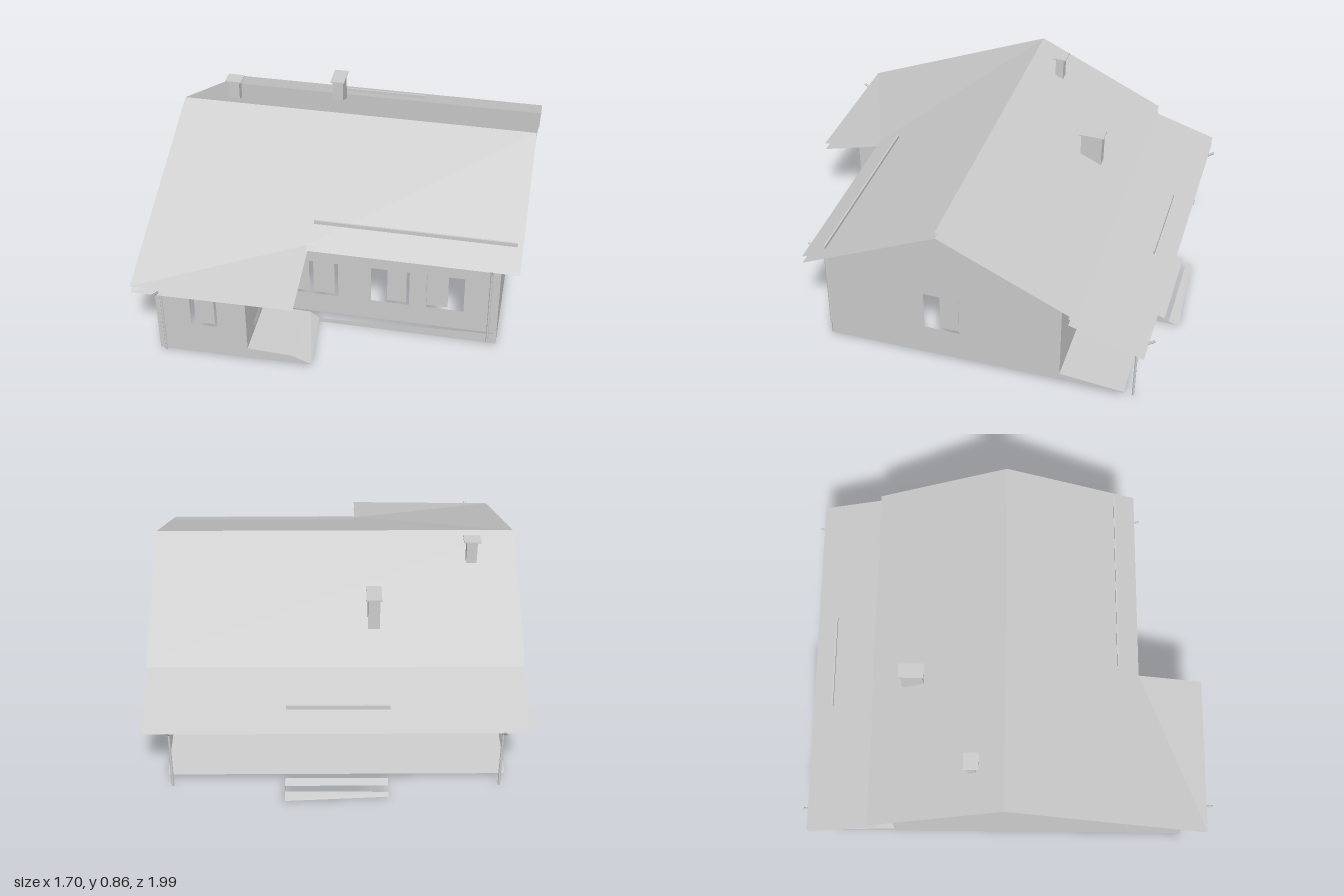
import * as THREE from 'three';

const grey = new THREE.MeshStandardMaterial({ color: 0xcccccc, side: THREE.DoubleSide, flatShading: true });

const rect = (a0, a1, y0, y1) => [[a0, y0], [a1, y0], [a1, y1], [a0, y1]];
const toPoints = (pts) => pts.map(([a, y]) => new THREE.Vector2(a, y));

export function createModel() {
  const house = new THREE.Group();
  house.name = 'house';

  const add = (name, geometry, parent = house) => {
    const mesh = new THREE.Mesh(geometry, grey);
    mesh.name = name;
    parent.add(mesh);
    return mesh;
  };

  // Thin vertical panel: outline in (x, y), or in (z, y) when facing sideways
  const panel = (name, outline, holes, at, sideways = false) => {
    const shape = new THREE.Shape(toPoints(outline));
    holes.forEach((h) => shape.holes.push(new THREE.Path(toPoints(rect(...h)))));
    const geometry = new THREE.ShapeGeometry(shape);
    if (sideways) geometry.rotateY(-Math.PI / 2).translate(at, 0, 0);
    else geometry.translate(0, 0, at);
    return add(name, geometry);
  };

  // Sheet from a few corners and triangles
  const sheet = (name, corners, triangles) => {
    const geometry = new THREE.BufferGeometry();
    geometry.setAttribute('position', new THREE.Float32BufferAttribute(corners.flat(), 3));
    geometry.setIndex(triangles);
    geometry.computeVertexNormals();
    return add(name, geometry);
  };
  const quad = (name, a, b, c, d) => sheet(name, [a, b, c, d], [0, 1, 2, 0, 2, 3]);

  const box = (name, x0, x1, y0, y1, z0, z1, parent) => add(name,
    new THREE.BoxGeometry(x1 - x0, y1 - y0, z1 - z0)
      .translate((x0 + x1) / 2, (y0 + y1) / 2, (z0 + z1) / 2), parent);

  // Gable walls, with the sloping terrace sides at the back
  panel('leftGableWall', [[0.57, 0], [0.57, 0.52], [0, 0.78], [-0.55, 0.52], [-0.55, 0.06], [-0.85, 0.035], [-0.85, 0.03]],
    [[-0.07, 0.1, 0.17, 0.37]], 0.765, true);
  panel('rightGableWall', [[0.88, 0], [0.88, 0.42], [0.57, 0.52], [0, 0.78], [-0.55, 0.52], [-0.55, 0.06], [-0.85, 0.035], [-0.85, 0.03]],
    [], -0.77, true);

  // Front and back walls
  panel('frontWall', rect(-0.35, 0.765, 0.06, 0.52),
    [[-0.24, 0.015, 0.17, 0.365], [0.17, 0.35, 0.17, 0.365], [0.43, 0.605, 0.17, 0.365]], 0.57);
  panel('backWall', rect(-0.77, 0.765, 0.06, 0.52),
    [[-0.24, -0.21, 0.17, 0.365], [0, 0.08, 0.17, 0.365], [0.43, 0.53, 0.17, 0.365]], -0.55);

  // Front wing
  panel('wingFrontWall', rect(-0.77, -0.35, 0, 0.42), [[-0.61, -0.485, 0.17, 0.365]], 0.88);
  panel('wingSideWall', [[0.57, 0], [0.88, 0], [0.88, 0.42], [0.57, 0.52]], [[0.63, 0.745, 0.075, 0.315]], -0.35, true);

  // Window and door leaves standing in the openings
  [[-0.235, -0.125], [-0.105, -0.005], [0.245, 0.335], [0.43, 0.53]].forEach(([a, b]) =>
    panel('frontWindowPane', rect(a, b, 0.175, 0.36), [], 0.56));
  panel('wingWindowPane', rect(-0.59, -0.5, 0.175, 0.36), [], 0.87);
  panel('sideWindowPane', rect(-0.065, 0.025, 0.175, 0.365), [], 0.755, true);
  panel('doorLeaf', rect(0.64, 0.73, 0.085, 0.31), [], -0.36, true);

  // Main roof: upper skin and lower soffit, stepping out over the wing
  [['roofSkin', 0], ['roofSoffit', -0.035]].forEach(([name, dy]) => {
    const y = (v) => v + dy;
    sheet(name + 'Front', [
      [-0.85, y(0.82), 0], [0.85, y(0.82), 0], [0.85, y(0.52), 0.645],
      [-0.11, y(0.52), 0.645], [-0.11, y(0.435), 0.96], [-0.85, y(0.425), 0.96],
    ], [0, 3, 1, 1, 3, 2, 0, 5, 3, 5, 4, 3]);
    quad(name + 'Back', [-0.85, y(0.82), 0], [0.85, y(0.82), 0], [0.85, y(0.52), -0.64], [-0.85, y(0.52), -0.64]);
    quad(name + 'Porch', [-0.85, y(0.485), -0.6], [0.85, y(0.485), -0.6], [0.85, y(0.38), -0.94], [-0.85, y(0.38), -0.94]);
  });

  // Snow guards
  box('frontSnowGuard', -0.1, 0.825, 0.565, 0.585, 0.538, 0.546);
  box('backSnowGuard', -0.24, 0.22, 0.405, 0.428, -0.849, -0.841);

  // Chimneys with cap plates
  const chimney = (name, [x0, x1, z0, z1], inset, bottom, top, cap) => {
    const group = new THREE.Group();
    group.name = name;
    box('stack', x0 + inset, x1 - inset, bottom, top, z0 + inset, z1 - inset, group);
    box('cap', x0, x1, cap - 0.006, cap, z0, z1, group);
    house.add(group);
  };
  chimney('ridgeChimney', [-0.68, -0.6, -0.185, -0.115], 0.015, 0.72, 0.856, 0.862);
  chimney('backChimney', [-0.21, -0.14, -0.5, -0.38], 0.008, 0.57, 0.744, 0.75);

  // Downpipes: short slanted neck under the eave, then straight down
  const pipe = (x, zTop, yTop, zWall, yBend, yFoot) => {
    const path = new THREE.CurvePath();
    const [a, b, c] = [[yTop, zTop], [yBend, zWall], [yFoot, zWall]].map(([y, z]) => new THREE.Vector3(x, y, z));
    path.add(new THREE.LineCurve3(a, b));
    path.add(new THREE.LineCurve3(b, c));
    add('downpipe', new THREE.TubeGeometry(path, 24, 0.006, 6));
  };
  pipe(-0.73, 0.99, 0.42, 0.91, 0.375, 0.02);
  pipe(0.725, 0.67, 0.5, 0.593, 0.445, 0.02);
  [-0.74, 0.74].forEach((x) => pipe(x, -0.965, 0.36, -0.89, 0.305, 0.005));

  // Back terrace and its low steps
  quad('terrace', [-0.77, 0.06, -0.55], [0.765, 0.06, -0.55], [0.765, 0.035, -0.85], [-0.77, 0.035, -0.85]);
  quad('terraceStepTop', [-0.235, 0.045, -0.89], [0.23, 0.045, -0.89], [0.23, 0.035, -0.93], [-0.235, 0.035, -0.93]);
  quad('terraceStepRamp', [-0.235, 0.015, -0.95], [0.23, 0.02, -0.95], [0.23, 0.008, -1], [-0.235, 0.008, -0.975]);
  panel('terraceStepEnd', [[-0.87, 0.005], [-0.89, 0.05], [-0.98, 0.008]], [], 0.23, true);

  // Entrance landing with a sloping edge, and the ground strip below the front wall
  quad('entranceLanding', [-0.35, 0.06, 0.57], [-0.35, 0.06, 0.88], [-0.14, 0.05, 0.88], [-0.12, 0.05, 0.57]);
  quad('entranceSlope', [-0.12, 0.05, 0.57], [-0.14, 0.05, 0.88], [-0.05, 0.012, 0.88], [-0.08, 0.02, 0.57]);
  panel('landingFront', [[-0.35, 0], [-0.05, 0.012], [-0.14, 0.05], [-0.35, 0.06]], [], 0.88);
  panel('frontPlinth', [[-0.35, 0], [0.765, 0], [0.765, 0.058], [-0.1, 0.02]], [], 0.575);

  return house;
}
